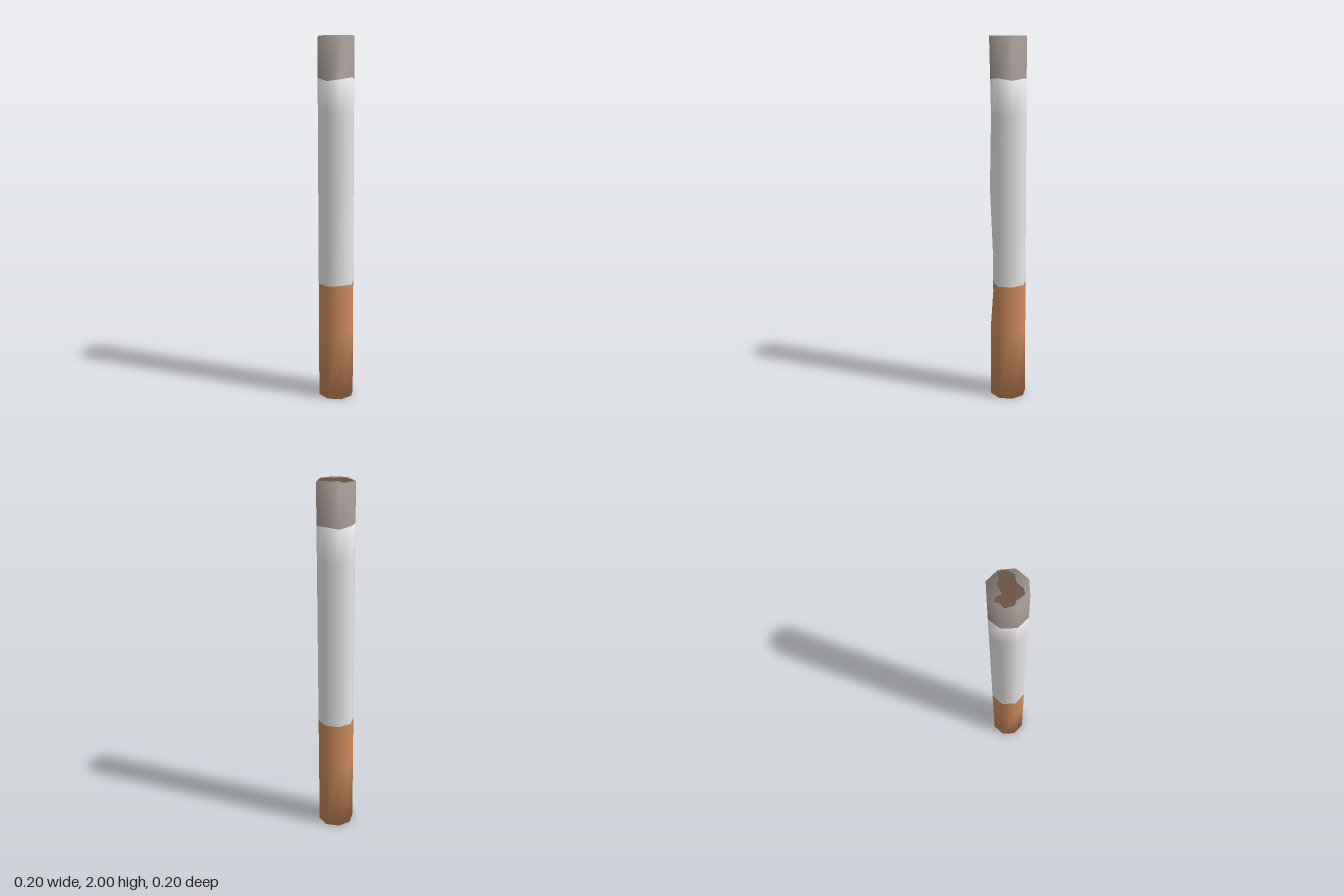
import * as THREE from 'three';

const SIDES = 8, R = 0.1;
const mat = (name, color) => new THREE.MeshStandardMaterial({ name, color });

// Front ridge radius along the height: pressed in near the filter
const DENT = [[0, 0.1], [0.4, 0.1], [0.8, 0.072], [1.2, 0.1], [1.6, 0.092], [2, 0.1]];
function ridge(y) {
  for (let i = 1; i < DENT.length; i++) {
    const [y0, r0] = DENT[i - 1], [y1, r1] = DENT[i];
    if (y <= y1) return r0 + (r1 - r0) * (y - y0) / (y1 - y0);
  }
  return R;
}

// Point on the octagonal surface; corner 0 is the front ridge
function point(k, y) {
  const a = (k % SIDES) * Math.PI * 2 / SIDES;
  const r = k % SIDES === 0 ? ridge(y) : R;
  return [r * Math.sin(a), y, r * Math.cos(a)];
}

// Soft normals that roll over towards both ends
function normal(k, y) {
  const a = (k % SIDES) * Math.PI * 2 / SIDES;
  const tilt = y < 0.4 ? -(1 - y / 0.4) : Math.max(0, (y - 1.6) / 0.4);
  return new THREE.Vector3(Math.sin(a), tilt, Math.cos(a)).normalize().toArray();
}

function makeGeometry(pos, nor, index) {
  const g = new THREE.BufferGeometry();
  g.setAttribute('position', new THREE.Float32BufferAttribute(pos, 3));
  g.setAttribute('normal', new THREE.Float32BufferAttribute(nor, 3));
  g.setIndex(index);
  return g;
}

// Tube section through rings; each ring is a height or a function of the corner
function band(rings) {
  const pos = [], nor = [], index = [];
  rings.forEach((ring, j) => {
    for (let k = 0; k < SIDES; k++) {
      const y = typeof ring === 'function' ? ring(k) : ring;
      pos.push(...point(k, y));
      nor.push(...normal(k, y));
      if (j === 0) continue;
      const n = (k + 1) % SIDES, lo = (j - 1) * SIDES, hi = j * SIDES;
      index.push(lo + k, lo + n, hi + n, lo + k, hi + n, hi + k);
    }
  });
  return makeGeometry(pos, nor, index);
}

// Octagonal end face
function cap(ring, up) {
  const pos = [], nor = [], index = [];
  for (let k = 0; k < SIDES; k++) {
    const y = ring(k);
    pos.push(...point(k, y));
    nor.push(...normal(k, y));
    if (k > 1) index.push(0, ...(up ? [k - 1, k] : [k, k - 1]));
  }
  return makeGeometry(pos, nor, index);
}

export function createModel() {
  const group = new THREE.Group();
  const add = (name, geometry, material) => {
    const mesh = new THREE.Mesh(geometry, material);
    mesh.name = name;
    group.add(mesh);
    return mesh;
  };

  const filterMat = mat('filter orange', 0xd08d5c);
  const paperMat = mat('paper white', 0xeeeeee);
  const ashMat = mat('ash grey', 0x968b87);
  const emberMat = mat('burnt brown', 0x6a5040);
  const endMat = mat('filter end beige', 0xd6cfb2);

  // Slightly uneven burn line and rims
  const burnOffsets = [0, 0.008, -0.005, 0.006, -0.004, 0.007, 0.005, -0.01];
  const burn = k => 1.78 + burnOffsets[k];
  const topRim = k => (k === 2 || k === 6 ? 1.993 : 2);
  const bottomRim = () => 0;

  add('filter', band([0, 0.4, 0.665]), filterMat);
  add('paper', band([0.665, 0.8, 1.2, 1.6, burn]), paperMat);
  add('ash', band([burn, topRim]), ashMat);
  add('ashEnd', cap(topRim, true), ashMat);
  add('filterEnd', cap(bottomRim, false), endMat);

  // Burnt patch on the tip, outlined as x, z
  const outline = [
    [-0.085, -0.01], [-0.078, -0.055], [-0.05, -0.06], [-0.032, -0.08], [-0.016, -0.068],
    [-0.014, -0.034], [0.04, -0.036], [0.05, -0.02], [0.085, -0.01], [0.088, 0.02],
    [0.07, 0.04], [0.045, 0.055], [0.01, 0.044], [-0.03, 0.06], [-0.055, 0.055],
    [-0.064, 0.03], [-0.066, 0.008],
  ];
  const patch = new THREE.Shape(outline.map(([x, z]) => new THREE.Vector2(x, -z)));
  const patchGeometry = new THREE.ShapeGeometry(patch).rotateX(-Math.PI / 2);
  add('burntPatch', patchGeometry, emberMat).position.y = 2.001;

  return group;
}
